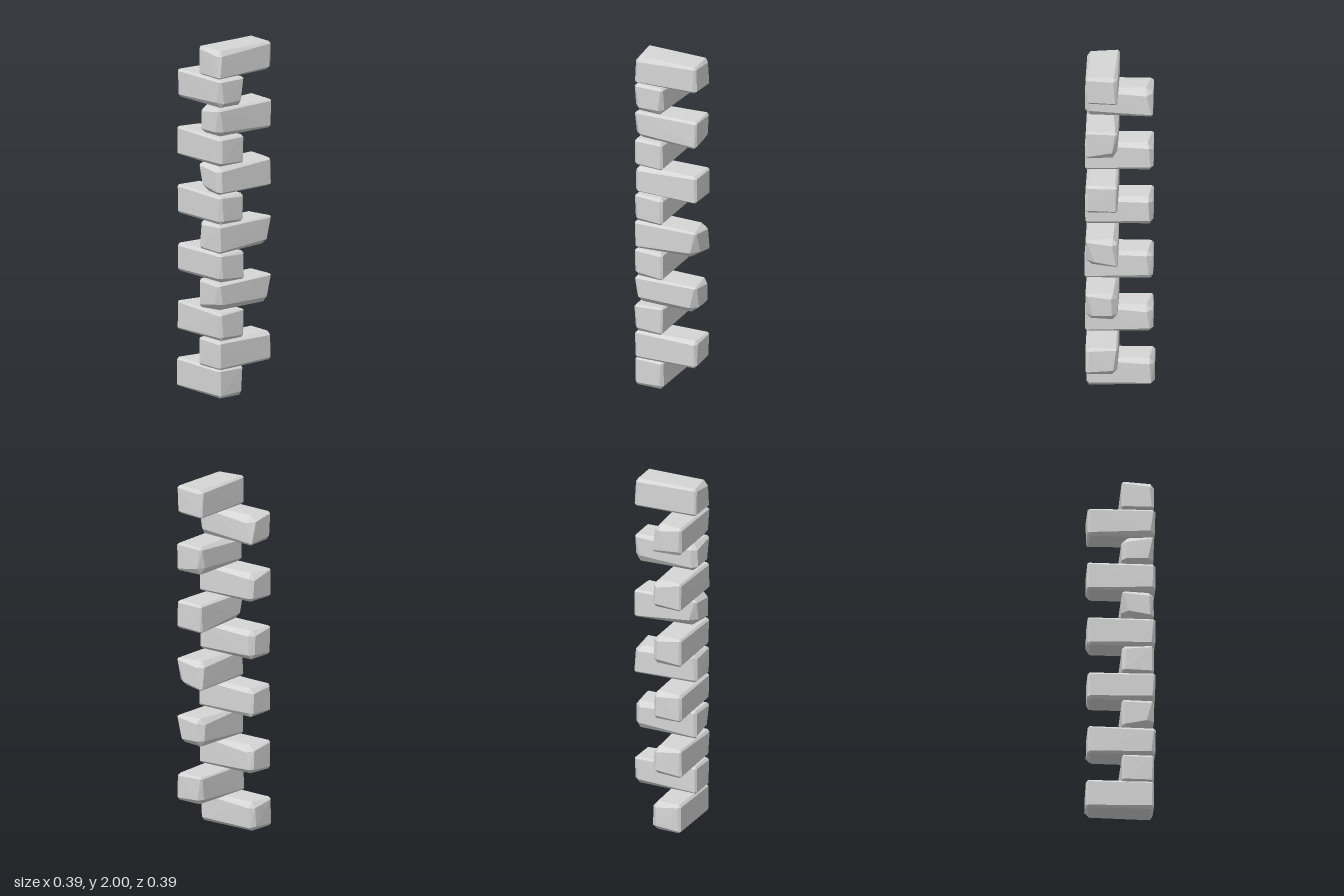
import * as THREE from 'three';
import { ConvexGeometry } from 'three/addons/geometries/ConvexGeometry.js';

// Small seeded generator for the irregular chipping
function seeded(seed) {
  let s = seed;
  return () => (s = (s * 16807) % 2147483647) / 2147483647;
}

// Large chips: stone index -> list of [x side, y side, z side, size]
const chips = {
  0: [[-1, 1, -1, 0.03], [-1, -1, -1, 0.025], [1, -1, -1, 0.02]],
  1: [[-1, -1, -1, 0.025], [1, 1, -1, 0.02]],
  2: [[-1, 1, -1, 0.03], [-1, -1, -1, 0.025], [1, -1, 1, 0.02]],
  3: [[1, -1, 1, 0.035], [1, -1, -1, 0.035], [-1, 1, -1, 0.03], [-1, -1, -1, 0.03]],
  4: [[-1, 1, -1, 0.03], [-1, -1, -1, 0.02], [1, -1, 1, 0.02]],
  5: [[1, -1, -1, 0.04], [-1, 1, -1, 0.035], [-1, 1, 1, 0.02]],
  6: [[-1, 1, -1, 0.03], [-1, -1, -1, 0.025], [1, -1, 1, 0.02]],
  7: [[-1, -1, 1, 0.035], [1, 1, 1, 0.03], [1, -1, 1, 0.02]],
  8: [[-1, 1, -1, 0.03], [-1, -1, -1, 0.02], [1, -1, 1, 0.02]],
  9: [[-1, 1, 1, 0.03], [1, -1, 1, 0.03], [-1, -1, 1, 0.03], [-1, -1, -1, 0.035]],
  10: [[-1, 1, -1, 0.035], [-1, -1, 1, 0.02], [1, -1, 1, 0.03], [1, -1, -1, 0.025]],
  11: [[1, 1, 1, 0.025], [-1, 1, -1, 0.02], [1, -1, -1, 0.02]],
};

// Rough block between two corners, with every corner cut to three points
function stoneGeometry(min, max, cuts, rand) {
  const points = [];
  for (const sx of [-1, 1]) for (const sy of [-1, 1]) for (const sz of [-1, 1]) {
    const chip = cuts.find(c => c[0] === sx && c[1] === sy && c[2] === sz);
    const size = chip ? chip[3] : 0.009 + rand() * 0.006;
    const signs = [sx, sy, sz];
    const corner = signs.map((s, i) => (s > 0 ? max[i] : min[i]) - s * rand() * 0.004);
    for (let axis = 0; axis < 3; axis++) {
      const p = corner.map((v, i) => (i === axis ? v : v - signs[i] * size * (0.75 + rand() * 0.5)));
      points.push(new THREE.Vector3(...p));
    }
  }
  return new ConvexGeometry(points);
}

export function createModel() {
  const model = new THREE.Group();
  model.name = 'cornerQuoins';
  const stone = new THREE.MeshStandardMaterial({ color: 0xd6d6d6, flatShading: true });
  stone.name = 'light grey stone';
  const rand = seeded(4711);

  // Twelve courses, alternately running along x and along z
  for (let i = 0; i < 12; i++) {
    const alongX = i % 2 === 0;
    const y0 = i === 0 ? 0 : 0.165 + (i - 1) * 0.1669;
    const y1 = i === 0 ? 0.173 : y0 + 0.166;
    const shift = i === 0 ? -0.007 : 0;
    const min = alongX ? [-0.19 + shift, y0, 0.012] : [0.002, y0, -0.193];
    const max = alongX ? [0.193 + shift, y1, 0.192] : [0.184, y1, 0.193];
    const mesh = new THREE.Mesh(stoneGeometry(min, max, chips[i], rand), stone);
    mesh.name = (alongX ? 'sideStone' : 'depthStone') + (i + 1);
    model.add(mesh);
  }
  return model;
}
